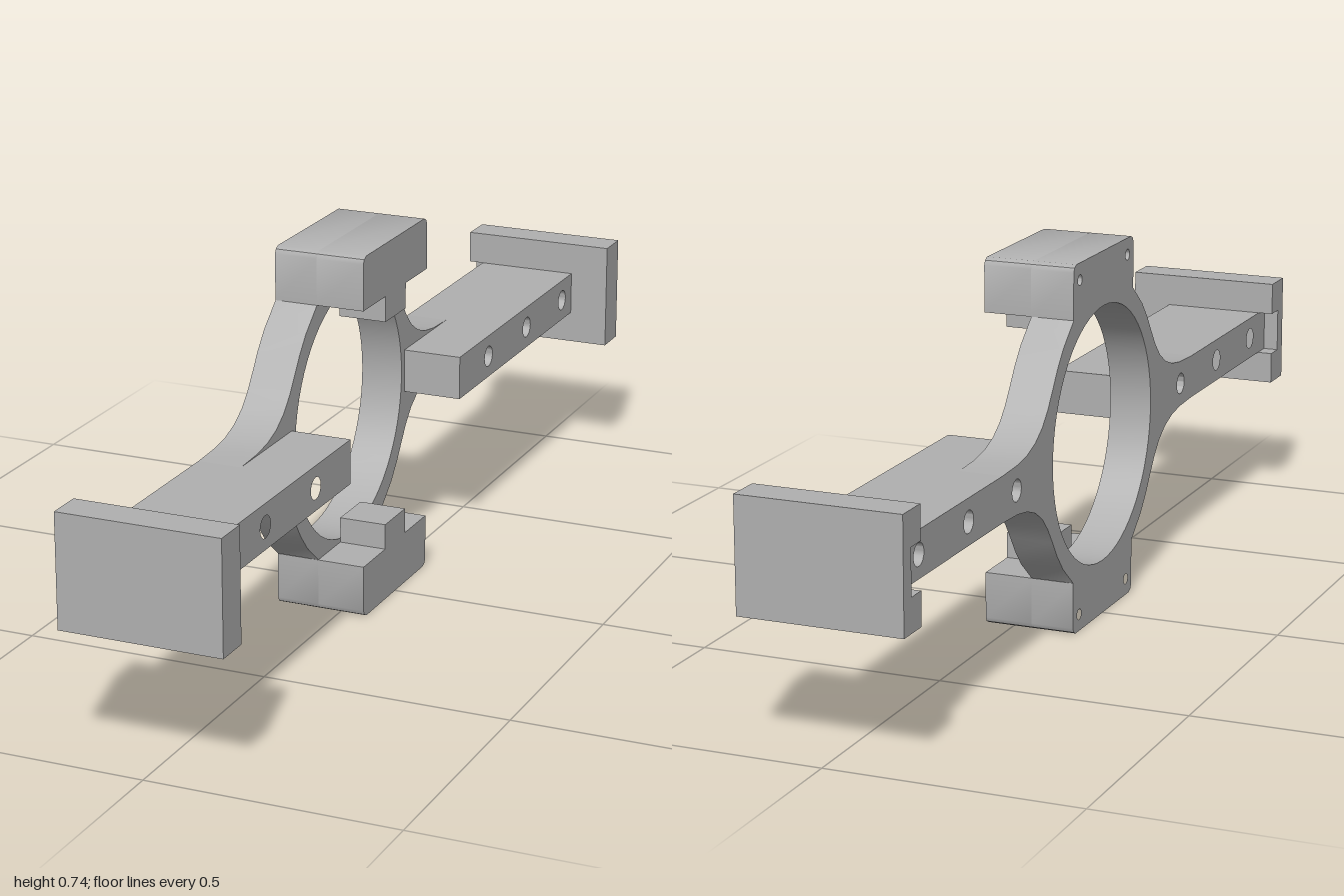
import * as THREE from 'three';
import { toCreasedNormals } from 'three/addons/utils/BufferGeometryUtils.js';

const MID = 0.371; // height of the horizontal symmetry plane
const BACK = -0.131, STEP = -0.043;

export function createModel() {
  const model = new THREE.Group();
  const grey = new THREE.MeshStandardMaterial({ color: 0xb0b0b0 });
  grey.name = 'plain grey';

  const add = (name, geometry) => {
    const mesh = new THREE.Mesh(geometry, grey);
    mesh.name = name;
    model.add(mesh);
    return mesh;
  };
  const box = (name, x0, x1, y0, y1, z0, z1) => {
    const g = new THREE.BoxGeometry(x1 - x0, y1 - y0, Math.abs(z1 - z0));
    g.translate((x0 + x1) / 2, (y0 + y1) / 2, (z0 + z1) / 2);
    return add(name, g);
  };
  // Side profile (u along -z, v up from the middle) extruded from x0 to x1
  const slab = (name, shape, x0, x1, curveSegments = 8) => {
    const g = new THREE.ExtrudeGeometry(shape, { depth: x1 - x0, bevelEnabled: false, curveSegments });
    g.rotateY(Math.PI / 2).translate(x0, MID, 0);
    return add(name, toCreasedNormals(g, 0.5));
  };
  const polygon = (pts) => new THREE.Shape(pts.map(([u, v]) => new THREE.Vector2(u, v)));
  const hole = (u, v, r) => new THREE.Path().absarc(u, v, r, 0, Math.PI * 2, true);

  // Ring with flares that blend into the two arms
  const quarter = [[0.5, 0.045], [0.43, 0.048], [0.385, 0.055], [0.345, 0.069], [0.312, 0.09],
    [0.285, 0.118], [0.262, 0.15], [0.238, 0.185], [0.208, 0.22], [0.155, 0.264], [0.15, 0.275]];
  const flip = (su, sv) => quarter.map(([u, v]) => [u * su, v * sv]);
  const ring = polygon([...flip(1, 1), ...flip(-1, 1).reverse(), ...flip(-1, -1), ...flip(1, -1).reverse()]);
  ring.holes.push(hole(0, 0, 0.26), hole(0.435, 0, 0.022), hole(-0.435, 0, 0.022));
  slab('ring', ring, BACK, STEP, 32);

  // Clamp blocks above and below the ring, each with a locating tab
  for (const s of [1, -1]) {
    const side = s > 0 ? 'upper' : 'lower';
    const outline = () => polygon([[-0.157, 0.263], [0.157, 0.263], [0.157, 0.356], [0.153, 0.365], [0.143, 0.37],
      [-0.143, 0.37], [-0.153, 0.365], [-0.157, 0.356]].map(([u, v]) => [u, v * s]));
    const drilled = outline();
    for (const u of [-0.125, 0.125]) drilled.holes.push(hole(u, 0.336 * s, 0.011));
    slab(side + 'BlockDrilled', drilled, BACK, STEP);
    slab(side + 'BlockSolid', outline(), STEP, 0.055);
    const a = MID + 0.211 * s, b = MID + 0.265 * s;
    box(side + 'Tab', STEP, 0.055, Math.min(a, b), Math.max(a, b), -0.05, 0.05);
  }

  // Drilled arms and end plates, front and back
  for (const s of [1, -1]) {
    const side = s > 0 ? 'front' : 'back';
    const arm = polygon([[-0.275, -0.045], [-0.93, -0.045], [-0.93, 0.045], [-0.275, 0.045]].map(([u, v]) => [u * s, v]));
    for (const z of [0.435, 0.655, 0.87]) arm.holes.push(hole(-z * s, 0, 0.022));
    slab(side + 'Arm', arm, BACK, 0.08);

    box(side + 'PlateOuter', -0.162, 0.162, 0.26, 0.483, s * 0.968, s);
    // Inner half of the plate has a notch level with the arm
    box(side + 'PlateInner', BACK, 0.162, 0.26, 0.483, s * 0.928, s * 0.968);
    box(side + 'PlateLipTop', -0.162, BACK, MID + 0.045, 0.483, s * 0.928, s * 0.968);
    box(side + 'PlateLipBottom', -0.162, BACK, 0.26, MID - 0.045, s * 0.928, s * 0.968);
  }
  return model;
}
